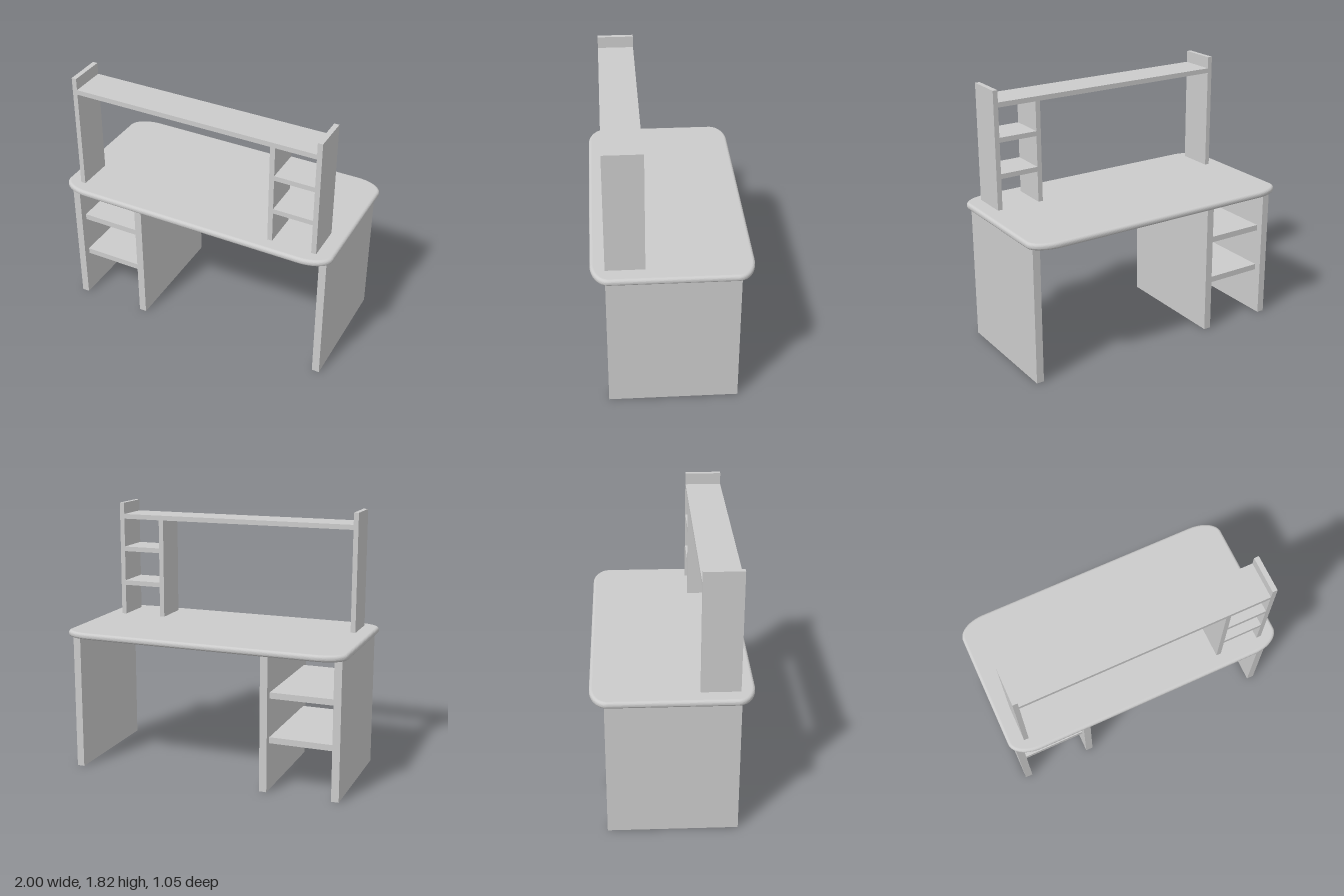
import * as THREE from 'three';

const material = new THREE.MeshStandardMaterial({ color: 0xcccccc });

// Box given by its lower and upper limits on each axis
function board(name, [x0, x1], [y0, y1], [z0, z1]) {
  const mesh = new THREE.Mesh(new THREE.BoxGeometry(x1 - x0, y1 - y0, z1 - z0), material);
  mesh.position.set((x0 + x1) / 2, (y0 + y1) / 2, (z0 + z1) / 2);
  mesh.name = name;
  return mesh;
}

// Slab with elliptical corners and a rounded rim
function makeTabletop(bottom, top) {
  const rim = 0.02;
  const hx = 1 - rim, hz = 0.525 - rim, rx = 0.18, rz = 0.1;
  const shape = new THREE.Shape();
  shape.moveTo(hx, -hz + rz);
  [[1, 1], [-1, 1], [-1, -1], [1, -1]].forEach(([sx, sz], i) => {
    const start = i * Math.PI / 2;
    shape.absellipse(sx * (hx - rx), sz * (hz - rz), rx, rz, start, start + Math.PI / 2, false, 0);
  });
  const geometry = new THREE.ExtrudeGeometry(shape, {
    depth: top - bottom - 2 * rim, bevelThickness: rim, bevelSize: rim, bevelSegments: 6, curveSegments: 12,
  });
  geometry.rotateX(-Math.PI / 2);
  geometry.translate(0, bottom + rim, 0);
  const mesh = new THREE.Mesh(geometry, material);
  mesh.name = 'tabletop';
  return mesh;
}

export function createModel() {
  const desk = new THREE.Group();
  desk.name = 'desk';
  desk.add(makeTabletop(0.955, 1));

  // Base: three upright panels and two slightly recessed shelves
  const base = new THREE.Group();
  base.name = 'base';
  const legDepth = [-0.43, 0.43];
  for (const [name, x] of [
    ['rightLegPanel', [-0.967, -0.915]],
    ['innerLegPanel', [-0.467, -0.415]],
    ['leftLegPanel', [0.912, 0.964]],
  ]) base.add(board(name, x, [0, 0.956], legDepth));
  for (const y of [0.33, 0.64]) {
    base.add(board('baseShelf', [-0.915, -0.467], [y, y + 0.042], [-0.38, 0.38]));
  }
  desk.add(base);

  // Hutch: two tall sides, a long shelf, a divider and two short shelves
  const hutch = new THREE.Group();
  hutch.name = 'hutch';
  const depth = [0.175, 0.43];
  hutch.add(
    board('hutchRightSide', [-0.892, -0.858], [0.999, 1.822], depth),
    board('hutchLeftSide', [0.855, 0.889], [0.999, 1.822], depth),
    board('hutchLongShelf', [-0.858, 0.855], [1.706, 1.74], depth),
    board('hutchDivider', [0.546, 0.58], [0.999, 1.706], depth),
  );
  for (const y of [1.217, 1.468]) {
    hutch.add(board('hutchShortShelf', [0.58, 0.855], [y, y + 0.034], depth));
  }
  desk.add(hutch);
  return desk;
}
